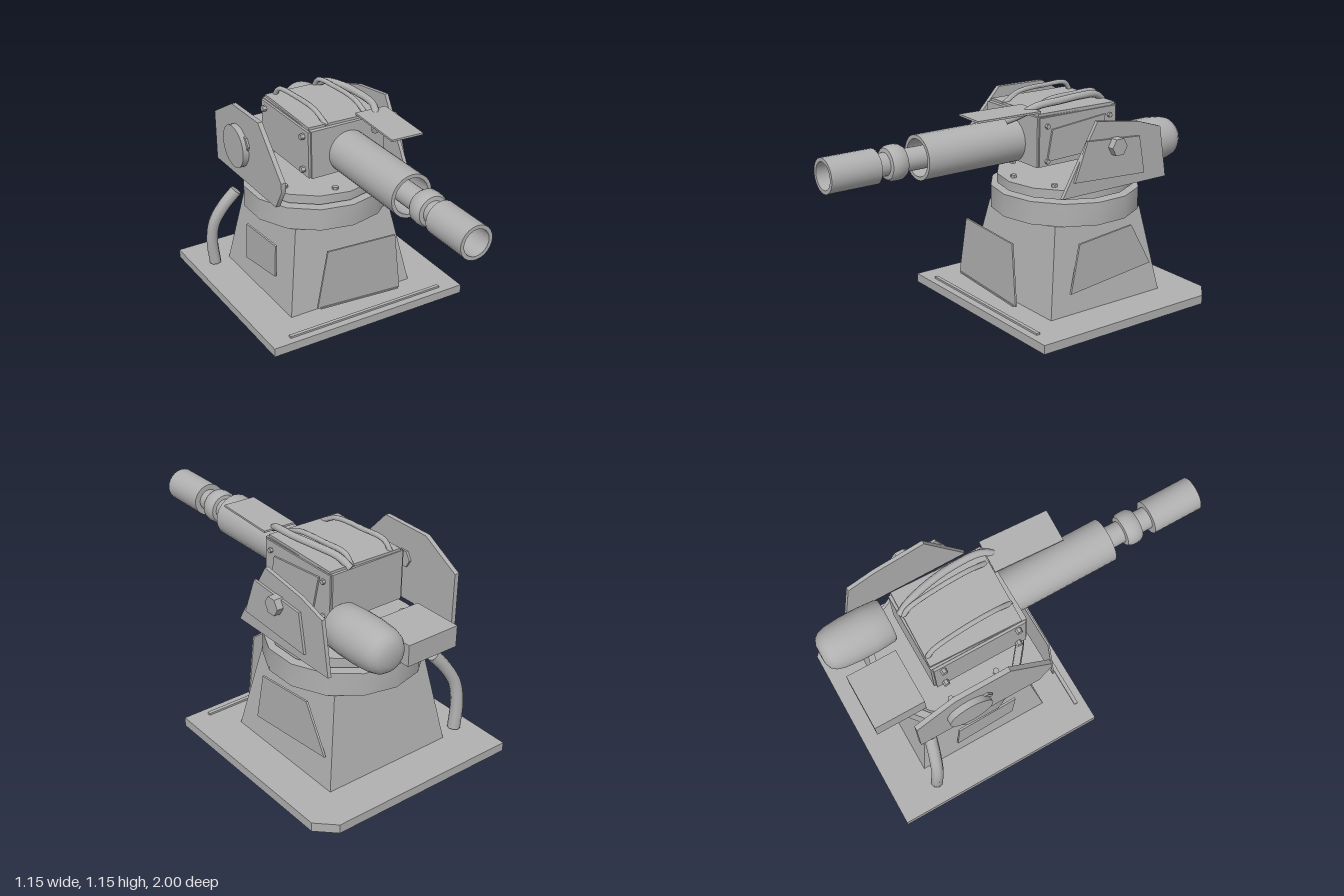
import * as THREE from 'three';
import { toCreasedNormals } from 'three/addons/utils/BufferGeometryUtils.js';

export function createModel() {
  const model = new THREE.Group();
  const grey = new THREE.MeshStandardMaterial({ color: 0xb0b0b0, side: THREE.DoubleSide });
  grey.name = 'plain grey';

  const add = (name, geo, x = 0, y = 0, z = 0, crease = 0.6) => {
    const mesh = new THREE.Mesh(toCreasedNormals(geo, crease), grey);
    mesh.name = name;
    mesh.position.set(x, y, z);
    model.add(mesh);
    return mesh;
  };
  // box given by its lower and upper corners
  const box = (name, [x0, y0, z0], [x1, y1, z1]) =>
    add(name, new THREE.BoxGeometry(x1 - x0, y1 - y0, z1 - z0), (x0 + x1) / 2, (y0 + y1) / 2, (z0 + z1) / 2);
  const polygon = (pts) => new THREE.Shape(pts.map(([a, b]) => new THREE.Vector2(a, b)));
  const extrude = (pts, depth) => new THREE.ExtrudeGeometry(polygon(pts), { depth, bevelEnabled: false });
  // slab with a (z, y) outline between x0 and x1
  const sideSlab = (name, x0, x1, pts) => add(name, extrude(pts, x1 - x0).rotateY(-Math.PI / 2), x1);
  // turned part along z, from (radius, z) points
  const turned = (name, x, y, pts, seg = 24) =>
    add(name, new THREE.LatheGeometry(pts.map(([r, z]) => new THREE.Vector2(r, z)), seg).rotateX(Math.PI / 2), x, y, 0);
  const tube = (name, r, sides, pts) => {
    const curve = new THREE.CatmullRomCurve3(pts.map((p) => new THREE.Vector3(...p)));
    add(name, new THREE.TubeGeometry(curve, 24, r, sides), 0, 0, 0, 0.9);
    // round caps closing both ends
    for (const i of [0, 1]) {
      const cap = add(name + 'End', new THREE.CircleGeometry(r, sides));
      cap.position.copy(curve.getPointAt(i));
      cap.quaternion.setFromUnitVectors(new THREE.Vector3(0, 0, 1), curve.getTangentAt(i).multiplyScalar(i ? 1 : -1));
    }
  };
  // short cylinder along x
  const pin = (name, x0, x1, y, z, r, sides) =>
    add(name, new THREE.CylinderGeometry(r, r, x1 - x0, sides).rotateZ(Math.PI / 2), (x0 + x1) / 2, y, z);

  const CZ = -0.42;   // turning axis
  const GY = 0.915;   // gun axis height

  // base plate with one cut corner
  add('basePlate', extrude([[-0.575, -0.15], [0.575, -0.15], [0.575, 0.91], [0.48, 1], [-0.575, 1]], 0.048)
    .rotateX(-Math.PI / 2));
  box('baseStrip', [-0.46, 0.048, 0.09], [0.46, 0.058, 0.11]);

  // tapered pedestal
  const q = Math.SQRT2;
  add('pedestal', new THREE.CylinderGeometry(0.283 * q, 0.365 * q, 0.462, 4).rotateY(Math.PI / 4), 0, 0.279, CZ);

  // access panels standing around the pedestal
  add('frontPanel', extrude([[-0.275, 0.14], [0.227, 0.107], [0.195, 0.438], [-0.21, 0.46]], 0.01), 0, 0, 0.058);
  box('frontPanelLip', [-0.26, 0.12, 0.062], [0.215, 0.128, 0.075]).rotation.z = -0.065;
  sideSlab('leftPanel', 0.346, 0.357, [[-0.19, 0.155], [-0.24, 0.417], [-0.585, 0.45], [-0.725, 0.21]]);
  sideSlab('rightPanel', -0.359, -0.348, [[-0.24, 0.2], [-0.22, 0.395], [-0.55, 0.37], [-0.57, 0.15]]);

  // turning rings and their bolts
  add('lowerRing', new THREE.CylinderGeometry(0.395, 0.395, 0.121, 14), 0, 0.57, CZ);
  add('upperRing', new THREE.CylinderGeometry(0.361, 0.361, 0.049, 14), 0, 0.667, CZ);
  for (let i = 0; i < 7; i++) {
    const a = -0.17 + (i / 7) * Math.PI * 2;
    add('ringBolt', new THREE.CylinderGeometry(0.017, 0.017, 0.016, 6), 0.3 * Math.sin(a), 0.698, CZ + 0.3 * Math.cos(a));
  }

  // hose at the pedestal's rear corner
  tube('hose', 0.033, 8, [[-0.34, 0.505, -0.7], [-0.41, 0.42, -0.72], [-0.463, 0.32, -0.74], [-0.475, 0.2, -0.755], [-0.462, 0.06, -0.76]]);

  // gun housing with lid and cheek covers
  box('housing', [-0.213, 0.813, -0.585], [0.208, 1.07, -0.075]);
  box('housingLid', [-0.207, 1.07, -0.575], [0.207, 1.083, -0.095]).rotation.y = -0.03;
  box('rightCover', [-0.226, 0.815, -0.575], [-0.213, 1.065, -0.085]);
  box('leftCover', [0.208, 0.815, -0.575], [0.216, 1.065, -0.085]);
  sideSlab('leftCoverPanel', 0.216, 0.225, [[-0.13, 0.84], [-0.16, 1.0], [-0.5, 1.03], [-0.46, 0.85]]);
  for (const z of [-0.53, -0.13]) {
    for (const y of [0.85, 1.03]) {
      pin('rightCoverBolt', -0.248, -0.226, y, z, 0.016, 6);
      pin('leftCoverBolt', 0.216, 0.231, y - 0.01, z, 0.013, 6);
    }
  }

  // side shields with pivots
  sideSlab('rightShield', -0.405, -0.38,
    [[-0.11, 0.69], [-0.045, 0.8], [-0.045, 0.85], [-0.27, 1.09], [-0.56, 1.085], [-0.77, 0.965], [-0.77, 0.69]]);
  pin('rightShieldDisc', -0.437, -0.405, 0.876, -0.5, 0.115, 24);
  pin('rightPivot', -0.415, -0.368, GY, CZ, 0.048, 6);
  sideSlab('leftShield', 0.367, 0.387,
    [[-0.1, 0.69], [-0.31, 1.053], [-0.58, 1.013], [-0.73, 0.965], [-0.78, 0.69]]);
  sideSlab('leftShieldPanel', 0.387, 0.4, [[-0.165, 0.765], [-0.24, 0.965], [-0.58, 0.94], [-0.62, 0.74]]);
  pin('leftPivot', 0.387, 0.435, GY, CZ, 0.048, 6);

  // barrel: open sleeve, inner barrel, bulged collar, hollow muzzle
  turned('barrelSleeve', 0, GY, [[0.113, -0.08], [0.113, 0.492], [0.094, 0.492], [0.094, 0.2], [0, 0.2]]);
  turned('innerBarrel', 0, GY, [[0.057, 0.19], [0.057, 0.76]]);
  turned('barrelCollar', 0, GY, [[0.057, 0.58], [0.077, 0.583], [0.087, 0.6], [0.089, 0.627], [0.087, 0.652], [0.077, 0.668], [0.057, 0.672]]);
  turned('muzzle', 0, GY, [[0, 0.733], [0.087, 0.733], [0.087, 1], [0.068, 1], [0.068, 0.8], [0, 0.8]]);

  // rear canister and equipment box
  turned('canister', 0.195, 0.833,
    [[0, -0.99], [0.05, -0.988], [0.082, -0.975], [0.102, -0.95], [0.113, -0.91], [0.12, -0.83], [0.12, -0.73], [0.114, -0.64], [0.105, -0.625], [0, -0.625]]);
  box('equipmentBox', [-0.255, 0.695, -0.93], [0.043, 0.807, -0.66]);

  // roof cables and the sight plate over the barrel
  for (const x of [-0.13, 0.105]) {
    tube('roofCable', 0.013, 8,
      [[x - 0.02, 1.07, -0.57], [x - 0.015, 1.12, -0.53], [x, 1.13, -0.38], [x + 0.01, 1.12, -0.2], [x + 0.02, 1.07, -0.1]]);
  }
  tube('looseCable', 0.019, 8,
    [[0.09, 1.045, 0.03], [0.13, 1.075, -0.03], [0.165, 1.115, -0.1], [0.17, 1.125, -0.25], [0.15, 1.125, -0.4], [0.12, 1.11, -0.52], [0.1, 1.07, -0.58]]);
  box('sightPlate', [0.042, 1.095, -0.09], [0.216, 1.105, 0.273]).rotation.y = -0.05;

  return model;
}
